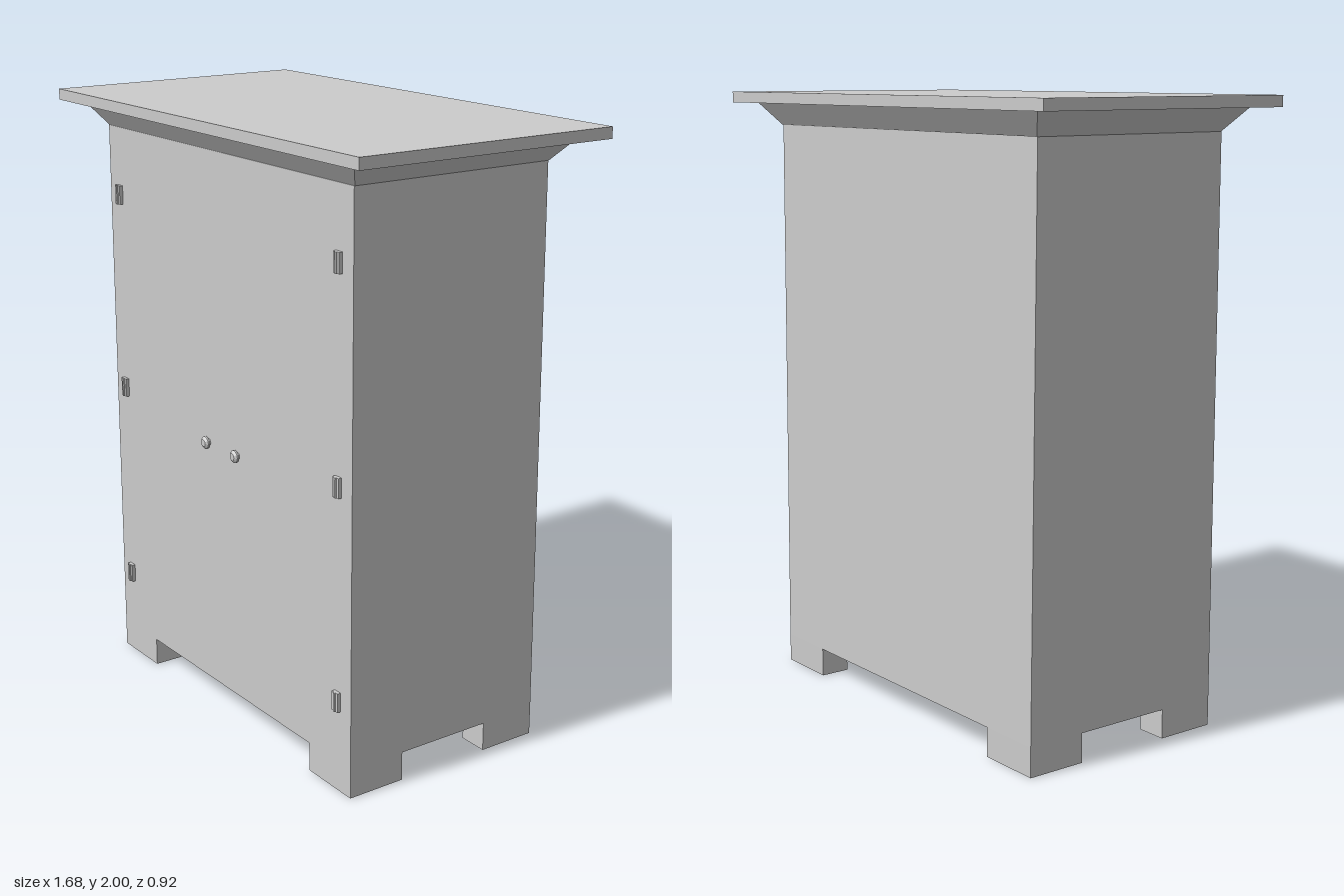
import * as THREE from 'three';

export function createModel() {
  const model = new THREE.Group();
  const mat = new THREE.MeshStandardMaterial({ color: 0xcccccc, flatShading: true });

  const add = (name, geometry, x = 0, y = 0, z = 0, parent = model) => {
    const mesh = new THREE.Mesh(geometry, mat);
    mesh.name = name;
    mesh.position.set(x, y, z);
    parent.add(mesh);
    return mesh;
  };

  const halfW = 0.685, front = 0.36, back = -0.37, legH = 0.095, bodyTop = 1.89;

  // Cabinet body: its back leans slightly forward towards the top
  const body = new THREE.BoxGeometry(halfW * 2, bodyTop - legH, 1);
  const bp = body.attributes.position;
  for (let i = 0; i < bp.count; i++) {
    bp.setZ(i, bp.getZ(i) > 0 ? front : bp.getY(i) > 0 ? -0.355 : back);
  }
  body.computeVertexNormals();
  add('cabinetBody', body, 0, (bodyTop + legH) / 2, 0);

  // Four L-shaped bracket feet, one at each corner
  const footW = 0.215, footD = 0.2, t = 0.1;
  for (const sx of [-1, 1]) {
    for (const sz of [-1, 1]) {
      const corners = [[0, 0], [footW, 0], [footW, t], [t, t], [t, footD], [0, footD]];
      const edgeZ = sz > 0 ? front : back;
      // The shape lies in (x, -z) and is extruded upwards
      const shape = new THREE.Shape(corners.map(([u, v]) =>
        new THREE.Vector2(sx * (halfW - u), -(edgeZ - sz * v))));
      const foot = new THREE.ExtrudeGeometry(shape, { depth: legH, bevelEnabled: false });
      foot.rotateX(-Math.PI / 2);
      add((sz > 0 ? 'front' : 'back') + (sx > 0 ? 'Left' : 'Right') + 'Foot', foot);
    }
  }

  // Flared cornice beneath the top board
  const cornice = new THREE.BoxGeometry(1, 0.075, 1);
  const cp = cornice.attributes.position;
  for (let i = 0; i < cp.count; i++) {
    const up = cp.getY(i) > 0;
    cp.setX(i, Math.sign(cp.getX(i)) * (up ? 0.755 : halfW));
    cp.setZ(i, Math.sign(cp.getZ(i)) * (up ? 0.412 : 0.358));
  }
  cornice.computeVertexNormals();
  add('cornice', cornice, 0, 1.9275, 0);

  add('topBoard', new THREE.BoxGeometry(1.68, 0.036, 0.92), 0, 1.982, 0);

  // Three hinges on each door: a leaf plate with a pin barrel
  for (const x of [-0.622, 0.618]) {
    for (const y of [0.303, 0.994, 1.665]) {
      const hinge = new THREE.Group();
      hinge.name = 'hinge';
      hinge.position.set(x, y, front);
      add('hingeLeaf', new THREE.BoxGeometry(0.03, 0.063, 0.012), 0, 0, 0.006, hinge);
      add('hingeBarrel', new THREE.CylinderGeometry(0.006, 0.006, 0.063, 8), 0, 0, 0.011, hinge);
      model.add(hinge);
    }
  }

  // Pair of round door knobs
  const profile = [[0.012, 0], [0.012, 0.006], [0.021, 0.009], [0.021, 0.015], [0.012, 0.022], [0, 0.022]]
    .map(([r, h]) => new THREE.Vector2(r, h));
  const knob = new THREE.LatheGeometry(profile, 12);
  knob.rotateX(Math.PI / 2);
  for (const x of [-0.094, 0.077]) add('doorKnob', knob, x, 0.937, front);

  return model;
}
